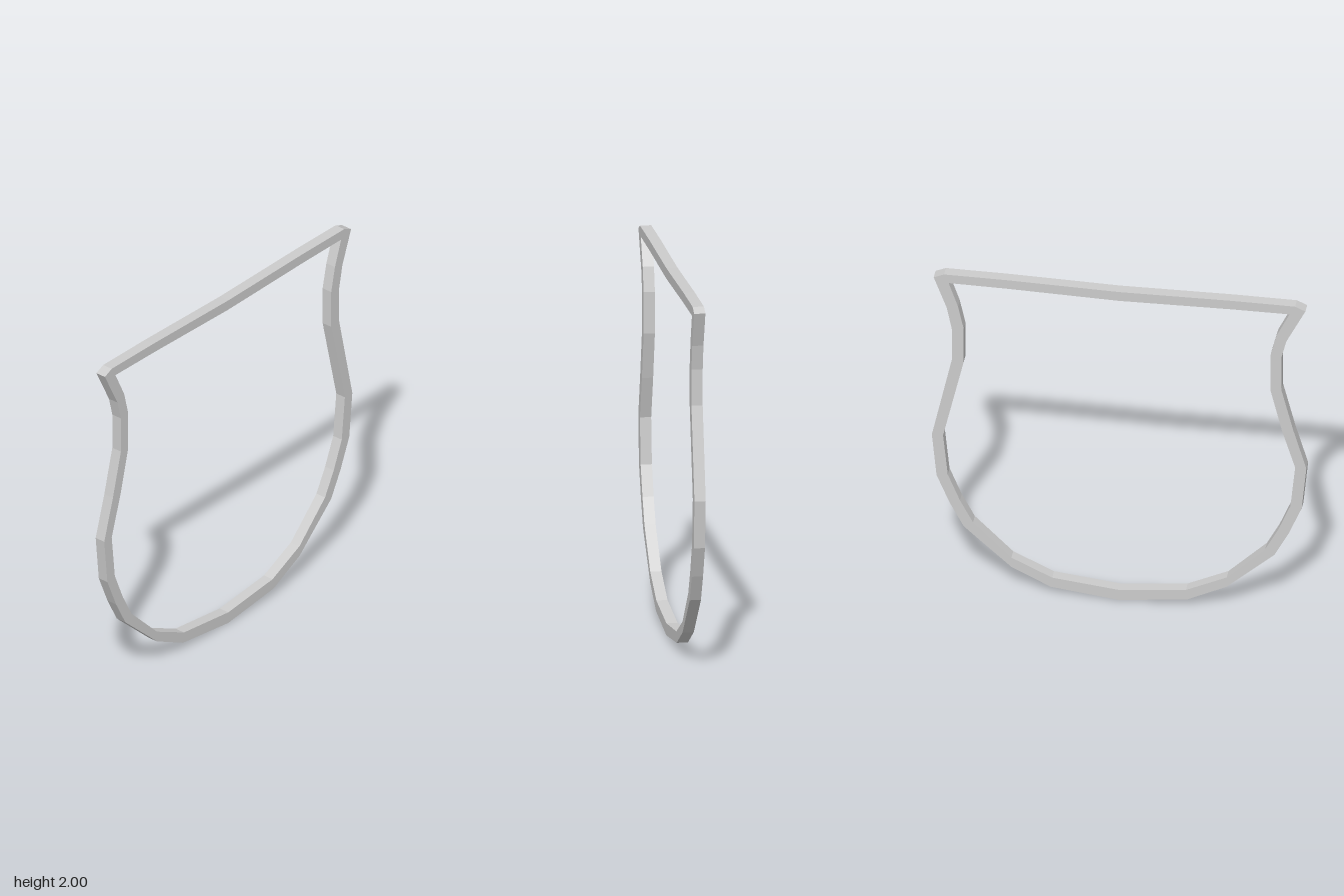
import * as THREE from 'three';

// Outline corners, counter-clockwise from the bottom centre
const OUTER = [
  [0, 0], [0.365, 0.045], [0.575, 0.15], [0.83, 0.385], [0.905, 0.53], [0.975, 0.7], [1, 0.96],
  [0.893, 1.455], [0.893, 1.65], [0.92, 1.785], [0.99, 1.975], [0.935, 2],
  [0.6, 2], [0, 1.99], [-0.6, 2],
  [-0.94, 2], [-0.995, 1.975], [-0.893, 1.77], [-0.866, 1.66], [-0.866, 1.455], [-0.93, 1.2],
  [-1, 0.96], [-0.975, 0.7], [-0.905, 0.53], [-0.83, 0.385], [-0.575, 0.15], [-0.365, 0.045],
];
const INNER = [
  [0, 0.065], [0.357, 0.105], [0.575, 0.21], [0.78, 0.415], [0.85, 0.55], [0.915, 0.71], [0.94, 0.96],
  [0.83, 1.445], [0.83, 1.66], [0.86, 1.8], [0.91, 1.947],
  [0.6, 1.945], [0, 1.933], [-0.6, 1.945],
  [-0.91, 1.947], [-0.84, 1.8], [-0.808, 1.67], [-0.808, 1.445], [-0.87, 1.19],
  [-0.94, 0.96], [-0.915, 0.71], [-0.85, 0.55], [-0.78, 0.415], [-0.575, 0.21], [-0.357, 0.105],
];
const THICKNESS = 0.06;

export function createModel() {
  const group = new THREE.Group();
  group.name = 'shieldOutline';

  const toPoints = (list) => list.map(([x, y]) => new THREE.Vector2(x, y));

  // Thin shield-shaped frame, open in the middle
  const shape = new THREE.Shape(toPoints(OUTER));
  shape.holes.push(new THREE.Path(toPoints(INNER)));
  const geometry = new THREE.ExtrudeGeometry(shape, { depth: THICKNESS, bevelEnabled: false });
  geometry.translate(0, 0, -THICKNESS / 2);

  const frame = new THREE.Mesh(
    geometry,
    new THREE.MeshStandardMaterial({ color: 0xcccccc, flatShading: true })
  );
  frame.name = 'shieldFrame';
  group.add(frame);
  return group;
}
